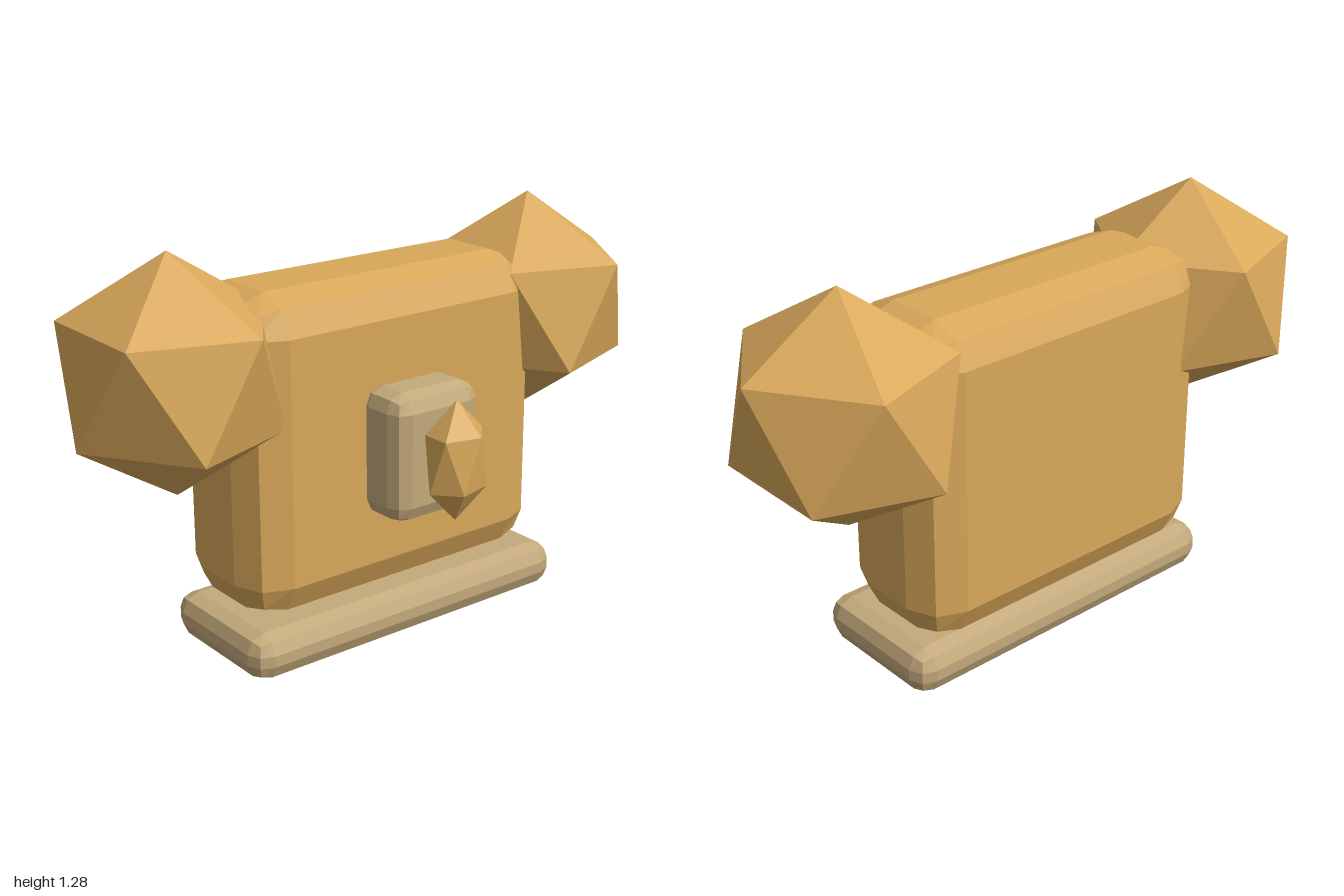
import * as THREE from 'three';
import { RoundedBoxGeometry } from 'three/addons/geometries/RoundedBoxGeometry.js';

const gold = new THREE.MeshStandardMaterial({ color: 0xd9a85a, flatShading: true });
const tan = new THREE.MeshStandardMaterial({ color: 0xc4aa7c, flatShading: true });

// Box with two-facet bevels; the bevel radius may differ per axis
function bevelBox(name, material, size, radius, position) {
  const [w, h, d] = size.map((s, i) => s / radius[i]);
  const geometry = new RoundedBoxGeometry(w, h, d, 1, 1);
  geometry.scale(...radius);
  const mesh = new THREE.Mesh(geometry, material);
  mesh.name = name;
  mesh.position.set(...position);
  return mesh;
}

// Stretched icosahedron standing on one corner
function gem(name, radii, position) {
  const geometry = new THREE.IcosahedronGeometry(1, 0);
  geometry.rotateZ(-Math.atan(2 / (1 + Math.sqrt(5))));
  geometry.scale(...radii);
  const mesh = new THREE.Mesh(geometry, gold);
  mesh.name = name;
  mesh.position.set(...position);
  return mesh;
}

export function createModel() {
  const model = new THREE.Group();
  model.name = 'model';

  // Base slab and main body
  model.add(bevelBox('base', tan, [1.2, 0.146, 0.48], [0.06, 0.055, 0.06], [0, 0.073, -0.065]));
  model.add(bevelBox('body', gold, [1.12, 1.0, 0.445], [0.13, 0.115, 0.13], [0, 0.645, -0.0975]));

  // Front plate with its knob
  model.add(bevelBox('frontPlate', tan, [0.326, 0.405, 0.2], [0.055, 0.055, 0.055], [0, 0.632, 0.18]));
  model.add(gem('frontKnob', [0.112, 0.19, 0.088], [0, 0.635, 0.35]));

  // Large faceted lump on each shoulder
  for (const side of [-1, 1]) {
    model.add(gem(side > 0 ? 'leftShoulder' : 'rightShoulder',
      [0.352, 0.365, 0.382], [side * 0.685, 0.92, -0.1]));
  }
  return model;
}
